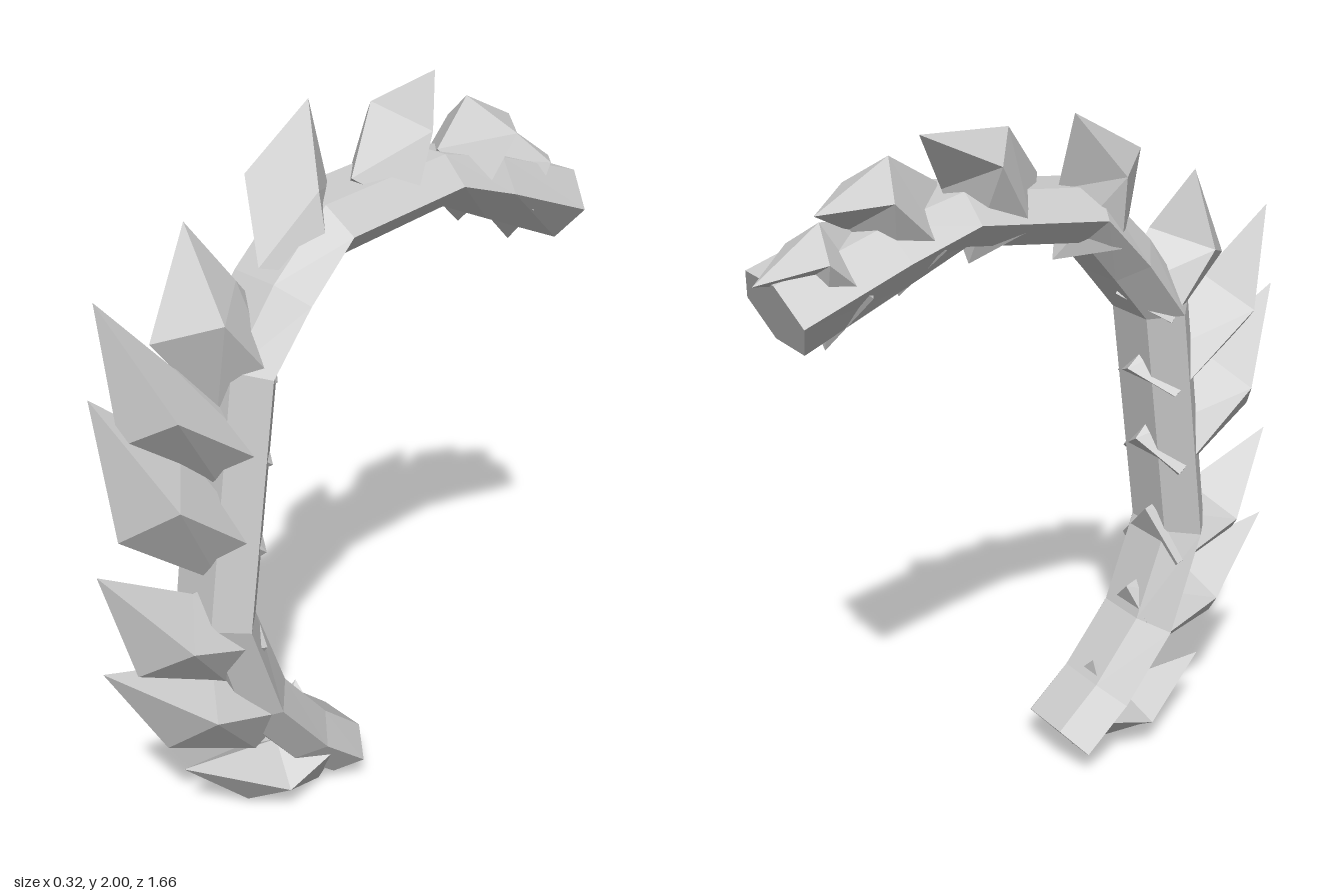
import * as THREE from 'three';

const material = new THREE.MeshStandardMaterial({ color: 0xcccccc, flatShading: true });

// Skins a series of rings (each a list of [x, y, z]) and caps both ends
function loft(rings) {
  const n = rings[0].length;
  const index = [];
  for (let r = 0; r < rings.length - 1; r++) {
    for (let i = 0; i < n; i++) {
      const a = r * n + i, b = r * n + (i + 1) % n;
      index.push(a, b, b + n, a, b + n, a + n);
    }
  }
  const last = (rings.length - 1) * n;
  for (let i = 1; i < n - 1; i++) {
    index.push(0, i + 1, i, last, last + i, last + i + 1);
  }
  const indexed = new THREE.BufferGeometry();
  indexed.setAttribute('position', new THREE.Float32BufferAttribute(rings.flat(2), 3));
  indexed.setIndex(index);
  const geometry = indexed.toNonIndexed();
  geometry.computeVertexNormals();
  return geometry;
}

// Centre line of the curved stem: [z, y, half thickness]
const path = [
  [0.09, 0.10, 0.078], [0.23, 0.22, 0.08], [0.39, 0.42, 0.08], [0.49, 0.72, 0.075],
  [0.395, 1.415, 0.075], [0.27, 1.575, 0.075], [0.13, 1.72, 0.075],
  [-0.257, 1.767, 0.07], [-0.455, 1.705, 0.085], [-0.75, 1.597, 0.098],
];

function stemGeometry() {
  const rings = path.map(([z, y, h], k) => {
    const p = path[Math.max(k - 1, 0)], q = path[Math.min(k + 1, path.length - 1)];
    const length = Math.hypot(q[0] - p[0], q[1] - p[1]);
    const nz = (q[1] - p[1]) / length, ny = -(q[0] - p[0]) / length;
    const ring = [];
    for (let i = 0; i < 6; i++) {
      const a = (i + 0.5) * Math.PI / 3;
      const d = Math.cos(a) * h / Math.cos(Math.PI / 6);
      ring.push([0.004 + 0.153 * Math.sin(a), y + ny * d, z + nz * d]);
    }
    return ring;
  });
  return loft(rings);
}

// Thorns, each in [z, y]: root edge, poking inner edge, outer keel, back ridge, tip;
// then x of tip, and x of the left and right flanks
const thorns = [
  { root: [0.165, 0.005], inner: [0.19, 0.335], keel: [0.394, 0.02], back: [0.30, 0.20], tip: [0.60, 0.225], x: [-0.03, 0.13, -0.13] },
  { root: [0.40, 0.235], inner: [0.31, 0.55], keel: [0.664, 0.347], back: [0.52, 0.58], tip: [0.833, 0.654], x: [-0.03, 0.13, -0.12] },
  { root: [0.47, 0.48], inner: [0.373, 0.79], keel: [0.743, 0.617], back: [0.57, 0.81], tip: [0.828, 0.944], x: [-0.03, 0.13, -0.12] },
  { root: [0.50, 0.83], inner: [0.33, 1.025], keel: [0.77, 1.03], back: [0.58, 1.24], tip: [0.796, 1.415], x: [-0.055, 0.13, -0.13] },
  { root: [0.48, 1.10], inner: [0.294, 1.246], keel: [0.745, 1.29], back: [0.59, 1.46], tip: [0.76, 1.654], x: [-0.055, 0.13, -0.13] },
  { root: [0.484, 1.315], inner: [0.246, 1.474], keel: [0.637, 1.525], back: [0.384, 1.63], tip: [0.49, 1.79], x: [-0.055, 0.12, -0.13] },
  { root: [0.34, 1.66], inner: [0.034, 1.605], keel: [0.304, 1.87], back: [0.05, 1.79], tip: [0.045, 2.0], x: [-0.11, 0.08, -0.16] },
  { root: [0.034, 1.823], inner: [-0.225, 1.638], keel: [-0.114, 1.976], back: [-0.30, 1.84], tip: [-0.405, 2.0], x: [-0.11, 0.085, -0.165] },
  { root: [-0.27, 1.84], inner: [-0.43, 1.59], keel: [-0.442, 1.94], back: [-0.55, 1.77], tip: [-0.675, 1.839], x: [-0.08, 0.115, -0.145] },
  { root: [-0.47, 1.775], inner: [-0.64, 1.49], keel: [-0.64, 1.81], back: [-0.70, 1.66], tip: [-0.832, 1.692], x: [-0.06, 0.09, -0.14] },
];

// Diamond-section thorn: narrow root, wide middle, sharp tip
function thornGeometry({ root, inner, keel, back, tip, x }) {
  const [tipX, left, right] = x;
  const middle = (left + right) / 2;
  const diamond = (low, high, lowX, highX, l, r) => {
    const z = (low[0] + high[0]) / 2, y = (low[1] + high[1]) / 2;
    return [[lowX, low[1], low[0]], [l, y, z], [highX, high[1], high[0]], [r, y, z]];
  };
  const base = diamond(root, inner, 0.04, -0.03, 0.135, -0.13);
  const waist = diamond(keel, back, middle - 0.01, middle + 0.01, left, right);
  const point = Array.from({ length: 4 }, () => [tipX, tip[1], tip[0]]);
  return loft([base, waist, point]);
}

export function createModel() {
  const model = new THREE.Group();
  model.name = 'thornyStem';

  const stem = new THREE.Mesh(stemGeometry(), material);
  stem.name = 'stem';
  model.add(stem);

  const row = new THREE.Group();
  row.name = 'thorns';
  thorns.forEach((spec, i) => {
    const thorn = new THREE.Mesh(thornGeometry(spec), material);
    thorn.name = `thorn${i + 1}`;
    row.add(thorn);
  });
  model.add(row);
  return model;
}
